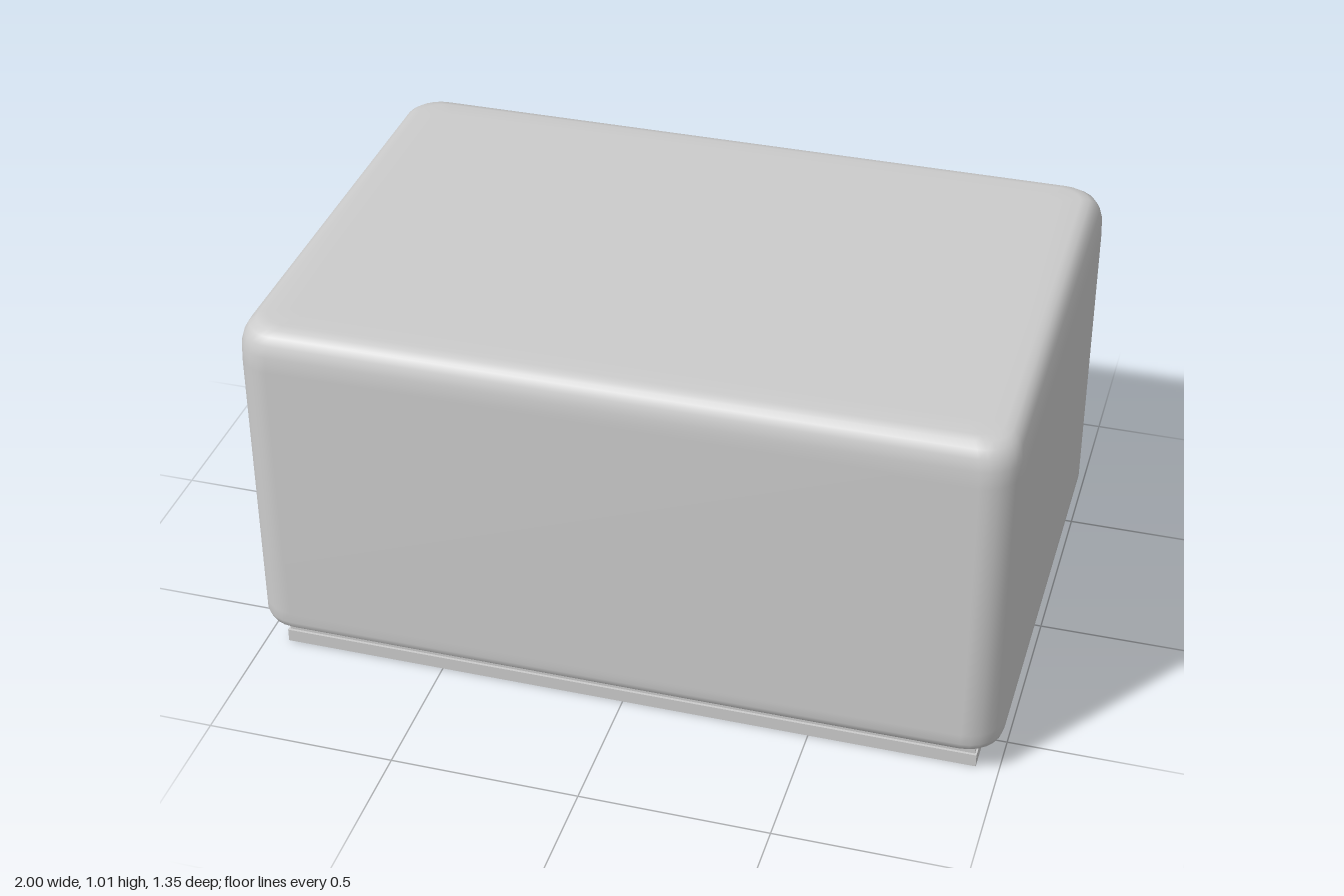
import * as THREE from 'three';

const grey = new THREE.MeshStandardMaterial({ color: 0xcccccc });

// Outline of a rounded rectangle in plan, counter-clockwise in (x, z)
function roundedOutline(hx, hz, r, steps) {
  const pts = [];
  const corners = [[1, 1], [-1, 1], [-1, -1], [1, -1]];
  corners.forEach(([sx, sz], q) => {
    for (let i = 0; i <= steps; i++) {
      const a = (q + i / steps) * Math.PI / 2;
      pts.push([sx * (hx - r) + r * Math.cos(a), sz * (hz - r) + r * Math.sin(a)]);
    }
  });
  return pts;
}

// Body lofted from rounded-rectangle loops, softly rounded at top and bottom
function bodyGeometry() {
  const levels = [ // height, inset from the widest outline
    [0.08, 0.1], [0.08, 0.03], [0.083, 0.016], [0.092, 0.006], [0.11, 0], [0.14, 0],
    [0.9, 0], [0.945, 0.002], [0.975, 0.01], [0.995, 0.022], [1.007, 0.038],
    [1.012, 0.06], [1.013, 0.12],
  ];
  const pos = [], idx = [];
  let n = 0;
  for (const [y, inset] of levels) {
    const loop = roundedOutline(1 - inset, 0.67 - inset, Math.max(0.095 - inset * 0.5, 0.03), 6);
    n = loop.length;
    for (const [x, z] of loop) pos.push(x, y, z);
  }
  for (let l = 0; l < levels.length - 1; l++) {
    for (let i = 0; i < n; i++) {
      const a = l * n + i, b = l * n + (i + 1) % n;
      idx.push(a, a + n, b, b, a + n, b + n);
    }
  }
  // flat caps
  const bottom = pos.length / 3, top = bottom + 1, last = (levels.length - 1) * n;
  pos.push(0, 0.08, 0, 0, 1.013, 0);
  for (let i = 0; i < n; i++) {
    const j = (i + 1) % n;
    idx.push(bottom, i, j, top, last + j, last + i);
  }
  const g = new THREE.BufferGeometry();
  g.setAttribute('position', new THREE.Float32BufferAttribute(pos, 3));
  g.setIndex(idx);
  g.computeVertexNormals();
  return g;
}

// Thin rectangular rim, open in the middle
function rim(name, hx, hz, y0, y1) {
  const wall = 0.008;
  const rect = (Type, x, z) => new Type([[-x, -z], [x, -z], [x, z], [-x, z]].map(p => new THREE.Vector2(...p)));
  const shape = rect(THREE.Shape, hx, hz);
  shape.holes.push(rect(THREE.Path, hx - wall, hz - wall));
  const g = new THREE.ExtrudeGeometry(shape, { depth: y1 - y0, bevelEnabled: false });
  g.rotateX(-Math.PI / 2);
  const mesh = new THREE.Mesh(g, grey);
  mesh.position.y = y0;
  mesh.name = name;
  return mesh;
}

// Raised overlapping wave scales on the back; lower rows hide those behind
function waveRelief() {
  const group = new THREE.Group();
  group.name = 'waveRelief';
  const R = 0.21, pitch = 0.408, tube = 0.012;
  const rows = [
    { y: 0.33, x0: 0.51 }, { y: 0.43, x0: 0.51 - pitch / 2 }, { y: 0.53, x0: 0.51 },
  ].map(({ y, x0 }) => [0, 1, 2].map(i => ({ x: x0 - i * pitch, y })));

  rows.forEach((row, k) => {
    const covers = rows.slice(0, k).flat();
    row.forEach((c) => {
      for (const r of [R - tube, 0.14, 0.082]) {
        let run = [];
        const flush = () => {
          if (run.length > 3) {
            const curve = new THREE.CatmullRomCurve3(run);
            const arc = new THREE.Mesh(new THREE.TubeGeometry(curve, run.length, tube, 8), grey);
            arc.name = 'waveArc';
            group.add(arc);
            // rounded tips
            for (const end of [run[0], run[run.length - 1]]) {
              const tip = new THREE.Mesh(new THREE.SphereGeometry(tube, 8, 6), grey);
              tip.position.copy(end);
              tip.name = 'waveTip';
              group.add(tip);
            }
          }
          run = [];
        };
        for (let i = 0; i <= 48; i++) {
          const a = Math.PI * i / 48;
          const x = c.x + r * Math.cos(a), y = c.y + r * Math.sin(a);
          if (covers.some(o => Math.hypot(x - o.x, y - o.y) < R)) flush();
          else run.push(new THREE.Vector3(x, y, 0));
        }
        flush();
      }
    });
  });
  group.position.z = -0.666;
  group.scale.z = 0.8;
  return group;
}

export function createModel() {
  const model = new THREE.Group();
  model.name = 'box';

  const body = new THREE.Mesh(bodyGeometry(), grey);
  body.name = 'body';
  model.add(body);

  // Stepped rim under the body
  model.add(rim('lowerRim', 0.94, 0.615, 0, 0.036));
  model.add(rim('upperRim', 0.935, 0.608, 0.036, 0.082));

  model.add(waveRelief());
  return model;
}
